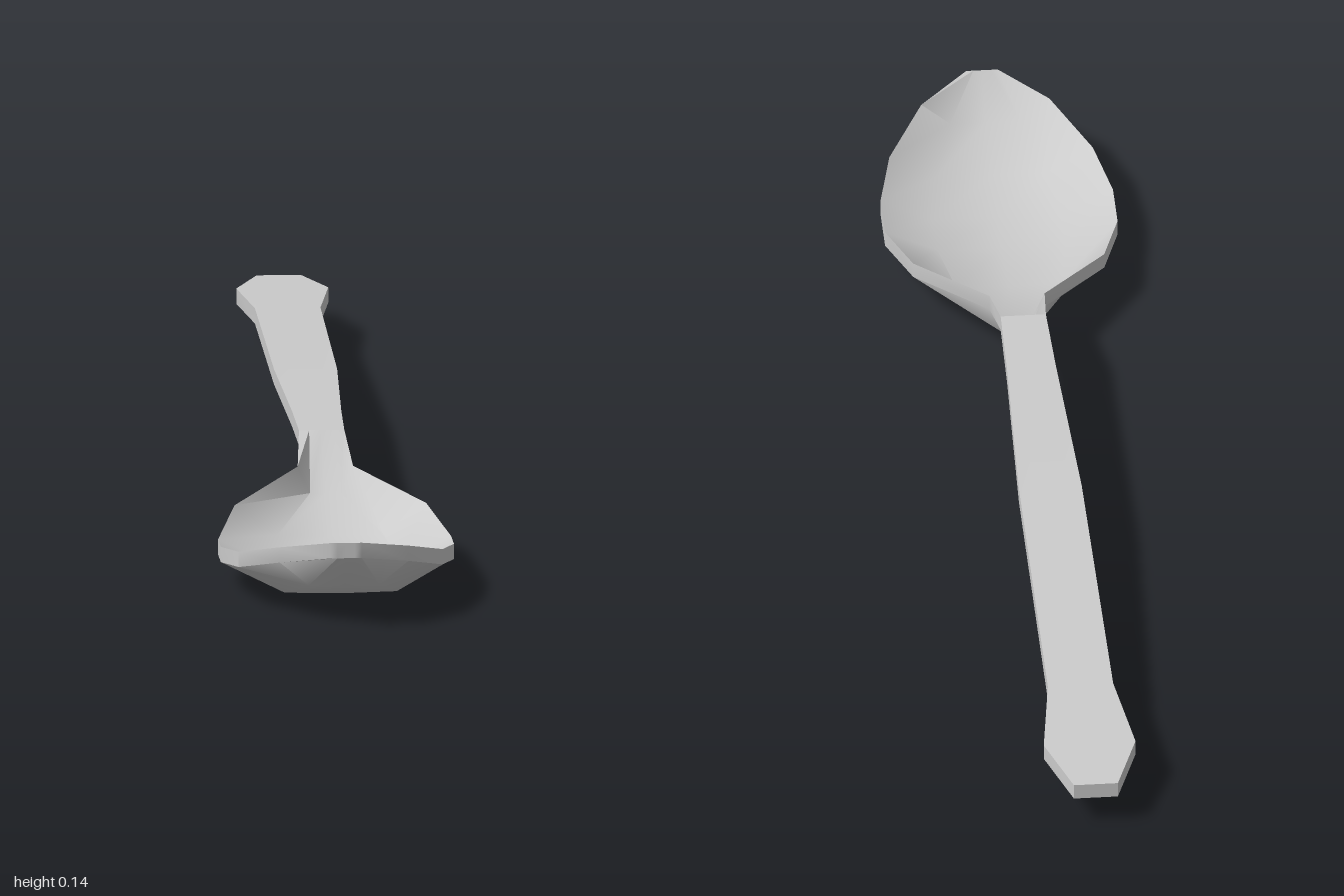
import * as THREE from 'three';
import { toCreasedNormals } from 'three/addons/utils/BufferGeometryUtils.js';

const THICK = 0.025;
const ACROSS = [-1, -0.55, 0, 0.55, 1]; // positions across the half width
const SAG = [0, 0.95, 1, 0.95, 0]; // share of the dip at each position

// Stations: [z, half width, rim top y, dip of the middle below the rim]
const BOWL = [
  [1.0, 0.025, 0.143, 0],
  [0.94, 0.102, 0.122, 0.04],
  [0.84, 0.162, 0.09, 0.045],
  [0.74, 0.185, 0.073, 0.042],
  [0.66, 0.185, 0.065, 0.04],
  [0.53, 0.152, 0.087, 0.052],
  [0.385, 0.044, 0.112, 0.046],
  [0.275, 0.036, 0.143, 0],
];
const HANDLE = [
  [0.275, 0.036, 0.143, 0],
  [0.13, 0.039, 0.137, 0],
  [-0.2, 0.05, 0.122, 0],
  [-0.73, 0.052, 0.087, 0],
  [-0.89, 0.073, 0.079, 0],
  [-1.0, 0.035, 0.072, 0],
];

// Skins a plate of even thickness through the stations, from +z to -z
function skin(stations, capFront, capBack) {
  const m = ACROSS.length, n = 2 * m;
  const pos = [], index = [];
  for (const [z, w, y, dip] of stations) {
    for (let k = 0; k < n; k++) {
      const j = k < m ? k : n - 1 - k;
      pos.push(ACROSS[j] * w, y - dip * SAG[j] - (k < m ? 0 : THICK), z);
    }
  }
  const quad = (a, b, c, d) => index.push(a, b, c, a, c, d);
  for (let i = 0; i < stations.length - 1; i++) {
    for (let k = 0; k < n; k++) {
      const l = (k + 1) % n;
      quad(i * n + k, i * n + l, (i + 1) * n + l, (i + 1) * n + k);
    }
  }
  const e = (stations.length - 1) * n;
  for (let j = 0; j < m - 1; j++) {
    const low = n - 1 - j;
    if (capFront) quad(low, low - 1, j + 1, j);
    if (capBack) quad(e + j, e + j + 1, e + low - 1, e + low);
  }
  const geo = new THREE.BufferGeometry();
  geo.setAttribute('position', new THREE.Float32BufferAttribute(pos, 3));
  geo.setIndex(index);
  return toCreasedNormals(geo, 0.75);
}

export function createModel() {
  const group = new THREE.Group();
  group.name = 'spoon';
  const metal = new THREE.MeshStandardMaterial({ color: 0xcccccc });
  const bowl = new THREE.Mesh(skin(BOWL, true, false), metal);
  bowl.name = 'bowl';
  const handle = new THREE.Mesh(skin(HANDLE, false, true), metal);
  handle.name = 'handle';
  group.add(bowl, handle);
  return group;
}
